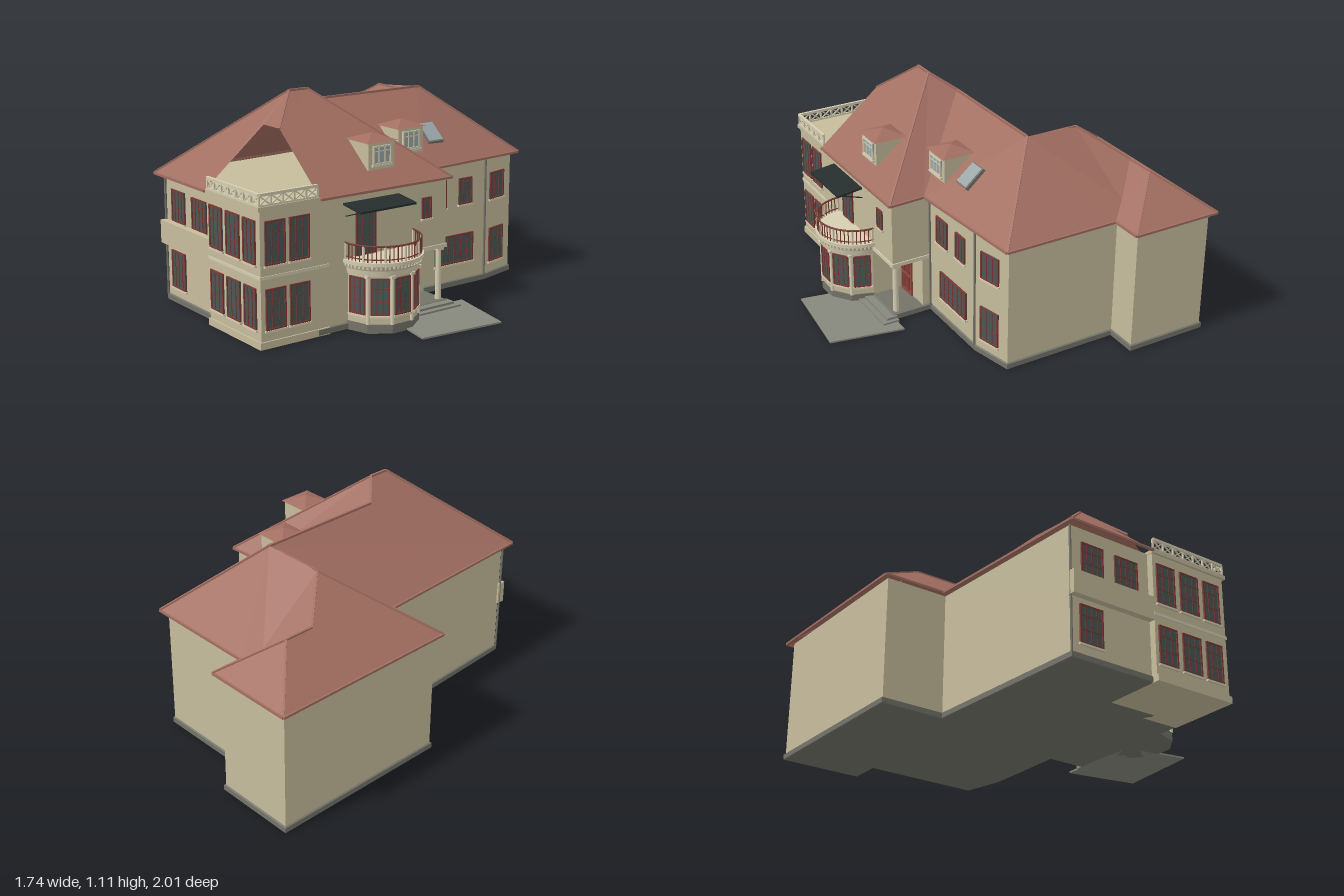
import * as THREE from 'three';

const mat = (name, color, side = THREE.FrontSide) => {
  const m = new THREE.MeshStandardMaterial({ color, side });
  m.name = name;
  return m;
};

export function createModel() {
  const M = {
    wall: mat('stucco', 0xc6bc9c),
    trim: mat('cream trim', 0xd6ceb2),
    roof: mat('roof tile', 0xa26e61, THREE.DoubleSide),
    base: mat('plinth grey', 0x74736a),
    frame: mat('window frame', 0x7c3a34),
    glass: mat('glass', 0x4a5856),
    door: mat('door', 0x98493f),
    awning: mat('awning', 0x252d2d),
    paving: mat('paving', 0x87887d),
    light: mat('pale glass', 0x9ba6a8),
  };
  const house = new THREE.Group();
  house.name = 'house';
  const add = (geo, m, name, parent = house) => {
    const mesh = new THREE.Mesh(geo, m);
    mesh.name = name;
    parent.add(mesh);
    return mesh;
  };
  // Box given by its extents
  const box = (name, m, x0, x1, y0, y1, z0, z1, parent = house) => {
    const b = add(new THREE.BoxGeometry(x1 - x0, y1 - y0, z1 - z0), m, name, parent);
    b.position.set((x0 + x1) / 2, (y0 + y1) / 2, (z0 + z1) / 2);
    return b;
  };
  // Square bar between two points
  const bar = (name, m, a, b, t, parent = house) => {
    const A = new THREE.Vector3(...a), B = new THREE.Vector3(...b);
    const mesh = add(new THREE.BoxGeometry(t, t, A.distanceTo(B)), m, name, parent);
    mesh.position.copy(A).lerp(B, 0.5);
    mesh.lookAt(B);
    return mesh;
  };
  // Upright prism over a plan outline of [x, z] points
  const prism = (name, m, pts, y0, y1, grow = 0) => {
    const shape = new THREE.Shape(pts.map(([x, z]) => new THREE.Vector2(x, -z)));
    const bevel = grow ? 0.004 : 0;
    const geo = new THREE.ExtrudeGeometry(shape, {
      depth: y1 - y0 - 2 * bevel, bevelEnabled: grow > 0, bevelSize: grow, bevelThickness: bevel, bevelSegments: 1,
    });
    geo.rotateX(-Math.PI / 2);
    add(geo, m, name).position.y = y0 + bevel;
  };

  // Walls: ground floor has a porch recess at the inner corner
  const west = [[0.02, 0.66], [0.02, 0.95], [-0.45, 0.95], [-0.5, 0], [-0.84, 0], [-0.84, -0.97],
    [-0.41, -0.97], [-0.41, -0.8], [0.21, -0.8], [0.26, -0.58], [0.262, -0.12]];
  const upper = [...west, [0.48, -0.12], [0.48, 0.66]];
  const lower = [...west, [0.31, -0.12], [0.31, 0.11], [0.48, 0.11], [0.48, 0.66]];
  prism('plinth', M.base, upper, 0, 0.035, 0.008);
  prism('groundFloorWalls', M.wall, lower, 0.03, 0.31);
  prism('upperFloorWalls', M.wall, upper, 0.31, 0.672);
  box('frontApron', M.wall, -0.46, 0.02, 0.31, 0.43, 0.94, 0.985);

  // Square front bay with roof terrace
  box('bayPlinth', M.wall, 0.02, 0.488, 0, 0.035, 0.6, 0.995);
  box('bayWalls', M.wall, 0.02, 0.48, 0.03, 0.675, 0.6, 0.985);
  box('bayBelt', M.trim, 0.02, 0.484, 0.335, 0.35, 0.6, 0.99);
  box('bayCornice', M.wall, 0.018, 0.492, 0.662, 0.682, 0.64, 0.998);

  // Lattice balustrade
  const rail = (a, b, n) => {
    const p = (t, y) => [a[0] + (b[0] - a[0]) * t, y, a[1] + (b[1] - a[1]) * t];
    bar('terraceTopRail', M.trim, p(0, 0.738), p(1, 0.738), 0.014);
    bar('terraceBottomRail', M.trim, p(0, 0.686), p(1, 0.686), 0.01);
    for (let i = 0; i <= n; i++) {
      bar('terracePost', M.trim, p(i / n, 0.68), p(i / n, 0.739), 0.009);
      if (i === n) continue;
      bar('lattice', M.trim, p(i / n, 0.686), p((i + 1) / n, 0.735), 0.006);
      bar('lattice', M.trim, p(i / n, 0.735), p((i + 1) / n, 0.686), 0.006);
    }
  };
  rail([0.026, 0.988], [0.482, 0.988], 7);
  rail([0.482, 0.988], [0.482, 0.665], 5);

  // Roof planes; every polygon is a fan about its first corner
  const E = 0.675, C = 0.957;
  const A = [-0.48, E, 1], P = [-0.01, 1.105, 0.49], Q = [-0.01, 1.105, 0.38], R = [-0.12, 1.025, 0.27],
    S = [-0.12, 1.025, -0.42], T = [-0.15, 1, -0.39], U = [-0.43, 1, -0.39], X = [-0.62, 0.86, -0.6],
    Y = [-0.62, 0.86, -0.76], W = [-0.46, 0.74, -0.76], D = [0.16, C, 0.66], B = [0.02, E, 1],
    K = [0.02, C, 0.66], V = [0.3, E, -0.13], NE = [0.24, E, -0.83], F = [0.5, E, 0.66], G = [0.5, E, -0.14],
    H = [-0.53, E, 0.03], I = [-0.87, E, 0.03], J = [-0.87, E, -1], L = [-0.38, E, -1], N = [-0.38, E, -0.83];
  const faces = [[P, A, B, K, D], [D, F, G, Q, P], [Q, G, V, R], [V, R, S, NE], [S, NE, N, W], [U, T, S, W, X],
    [W, X, Y, L, N], [Y, J, L], [I, J, Y, X, U], [I, U, T, H], [A, H, T, S, R, Q, P]];
  const pos = [];
  for (const f of faces) for (let i = 1; i < f.length - 1; i++) {
    const [a, b, c] = [f[0], f[i], f[i + 1]];
    const up = (b[2] - a[2]) * (c[0] - a[0]) - (b[0] - a[0]) * (c[2] - a[2]);
    pos.push(...a, ...(up > 0 ? [...b, ...c] : [...c, ...b]));
  }
  const roofGeo = new THREE.BufferGeometry();
  roofGeo.setAttribute('position', new THREE.Float32BufferAttribute(pos, 3));
  roofGeo.computeVertexNormals();
  add(roofGeo, M.roof, 'roof');
  const line = (name, pts, t, dy) => pts.slice(1).forEach((p, i) =>
    bar(name, M.roof, [pts[i][0], pts[i][1] + dy, pts[i][2]], [p[0], p[1] + dy, p[2]], t));
  line('eave', [B, A, H, I, J, L, N, NE, V, G, F], 0.012, -0.003);
  line('ridgeCap', [A, P, Q, R, S, NE], 0.012, 0);
  line('ridgeCap', [D, P], 0.01, 0);
  line('ridgeCap', [Q, G], 0.01, 0);
  line('ridgeCap', [J, Y, X, U, T], 0.01, 0);
  line('ridgeCap', [I, U], 0.01, 0);
  line('ridgeCap', [L, Y], 0.01, 0);

  // Window: local +z points out of the wall
  const windowAt = (x, z, turn, w, y0, y1, cols = 3, glass = M.glass, frame = M.frame) => {
    const g = new THREE.Group();
    g.name = 'window';
    g.position.set(x, y0, z);
    g.rotation.y = turn;
    house.add(g);
    const h = y1 - y0, t = 0.008;
    box('glass', glass, -w / 2, w / 2, 0, h, -0.004, 0.004, g);
    for (const s of [-1, 1]) box('frameSide', frame, s * (w / 2 - t / 2) - t / 2, s * (w / 2 - t / 2) + t / 2, 0, h, -0.004, 0.009, g);
    for (const y of [0, h - t]) box('frameRail', frame, -w / 2, w / 2, y, y + t, -0.004, 0.009, g);
    for (let i = 1; i < cols; i++) {
      const cx = -w / 2 + (w * i) / cols;
      box('mullion', frame, cx - 0.0025, cx + 0.0025, 0, h, -0.004, 0.007, g);
    }
    for (const f of h > 0.14 ? [0.36, 0.72] : [0.7]) box('glazingBar', frame, -w / 2, w / 2, h * f - 0.0022, h * f + 0.0022, -0.004, 0.007, g);
    box('sill', M.trim, -w / 2 - 0.006, w / 2 + 0.006, -0.01, 0, -0.004, 0.012, g);
    return g;
  };
  const EAST = Math.PI / 2;
  windowAt(-0.325, 0.95, 0, 0.13, 0.435, 0.6, 4);
  windowAt(-0.12, 0.95, 0, 0.14, 0.435, 0.595, 4);
  windowAt(-0.337, 0.95, 0, 0.135, 0.085, 0.28, 4);
  for (const [y0, y1] of [[0.4, 0.612], [0.088, 0.288]]) {
    for (const [x, w] of [[0.097, 0.115], [0.248, 0.118], [0.393, 0.105]]) windowAt(x, 0.985, 0, w, y0, y1);
    for (const z of [0.905, 0.77]) windowAt(0.48, z, EAST, 0.112, y0, y1);
  }
  windowAt(0.48, 0.385, EAST, 0.12, 0.36, 0.575);
  windowAt(0.48, 0.008, EAST, 0.06, 0.48, 0.587, 2);
  windowAt(0.262, -0.25, EAST, 0.108, 0.44, 0.59);
  windowAt(0.262, -0.435, EAST, 0.09, 0.445, 0.587);
  windowAt(0.262, -0.362, EAST, 0.26, 0.13, 0.285, 6);
  for (const [y0, y1] of [[0.44, 0.587], [0.092, 0.28]]) windowAt(0.238, -0.677, EAST + 0.224, 0.125, y0, y1);

  // Porch: door, corner column, steps and paving
  box('door', M.door, 0.308, 0.32, 0.035, 0.265, -0.01, 0.1);
  for (const z of [0.02, 0.07]) for (const [a, b] of [[0.06, 0.14], [0.16, 0.23]])
    box('doorPanel', M.frame, 0.318, 0.324, a, b, z - 0.017, z + 0.017);
  const column = (x, z, r, y0, y1) => {
    add(new THREE.CylinderGeometry(r * 0.85, r, y1 - y0, 12), M.trim, 'column').position.set(x, (y0 + y1) / 2, z);
    box('columnCapital', M.trim, x - r * 1.3, x + r * 1.3, y1 - 0.015, y1, z - r * 1.3, z + r * 1.3);
  };
  column(0.455, -0.095, 0.016, 0.03, 0.31);
  box('porchBeam', M.trim, 0.27, 0.486, 0.31, 0.33, -0.126, 0.1);
  box('upperStep', M.paving, 0.47, 0.53, 0, 0.03, -0.14, 0.12);
  box('lowerStep', M.paving, 0.47, 0.56, 0, 0.018, -0.16, 0.15);
  prism('paving', M.paving, [[0.48, -0.235], [0.865, -0.16], [0.82, 0.3], [0.48, 0.24]], 0, 0.009);

  // Faceted bay window carrying a round balcony
  const cx = 0.48, cz = 0.3;
  const half = (name, m, r0, r1, y0, y1, n = 24) => {
    const geo = new THREE.CylinderGeometry(r1, r0, y1 - y0, n, 1, false, 0, Math.PI);
    const mesh = add(n < 9 ? geo.toNonIndexed() : geo, m, name);
    if (n < 9) mesh.geometry.computeVertexNormals();
    mesh.position.set(cx, (y0 + y1) / 2, cz);
  };
  half('bayWindowFoot', M.base, 0.195, 0.195, 0, 0.045, 5);
  half('bayWindowWall', M.wall, 0.19, 0.19, 0.045, 0.3, 5);
  half('balconyMoulding', M.trim, 0.195, 0.2, 0.285, 0.315);
  half('balconyCornice', M.wall, 0.2, 0.21, 0.315, 0.34);
  half('balconySlab', M.trim, 0.218, 0.218, 0.34, 0.358);
  for (let i = -2; i <= 2; i++) {
    const a = (i * Math.PI) / 5;
    windowAt(cx + 0.181 * Math.cos(a), cz + 0.181 * Math.sin(a), EAST - a, 0.092, 0.09, 0.275);
  }
  for (let i = -2; i < 2; i++) {
    const a = ((i + 0.5) * Math.PI) / 5;
    column(cx + 0.19 * Math.cos(a), cz + 0.19 * Math.sin(a), 0.01, 0.045, 0.29);
  }
  for (let i = 0; i <= 30; i++) {
    const a = ((i / 30) - 0.5) * Math.PI * 0.98, r = 0.206;
    const x = cx + r * Math.cos(a), z = cz + r * Math.sin(a);
    bar('baluster', i % 5 ? M.frame : M.trim, [x, 0.355, z], [x, 0.437, z], i % 5 ? 0.004 : 0.009);
    const d = add(new THREE.BoxGeometry(0.01, 0.012, 0.01), M.trim, 'dentil');
    d.position.set(x, 0.33, z);
    d.rotation.y = -a;
  }
  for (const [y, t] of [[0.437, 0.005], [0.372, 0.003]]) {
    const ring = new THREE.TorusGeometry(0.206, t, 6, 28, Math.PI);
    ring.rotateX(Math.PI / 2).rotateY(Math.PI / 2);
    add(ring, M.frame, 'balconyRail').position.set(cx, y, cz);
  }

  // Awning with braces
  const awning = box('awning', M.awning, -0.07, 0.07, -0.005, 0.005, -0.167, 0.167);
  awning.position.set(0.56, 0.621, 0.357);
  awning.rotation.z = -0.13;
  for (const z of [0.21, 0.36, 0.5]) bar('awningBrace', M.awning, [0.48, 0.565, z], [0.62, 0.612, z], 0.005);

  // Hipped dormers
  for (const [x, z] of [[0.337, 0.24], [0.132, -0.105]]) {
    box('dormerBody', M.wall, x - 0.08, x + 0.08, 0.75, 0.888, z - 0.08, z + 0.08);
    const cap = add(new THREE.ConeGeometry(0.132, 0.035, 4, 1).rotateY(Math.PI / 4).toNonIndexed(), M.roof, 'dormerRoof');
    cap.geometry.computeVertexNormals();
    cap.position.set(x, 0.902, z);
    windowAt(x + 0.081, z, EAST, 0.11, 0.775, 0.868, 3, M.light, M.trim);
  }

  // Skylight lying on the east slope
  const sky = new THREE.Group();
  sky.name = 'skylight';
  sky.position.set(0.13, 0.822, -0.302);
  sky.rotation.z = -0.71;
  house.add(sky);
  box('skylightFrame', M.base, -0.066, 0.066, -0.02, 0.008, -0.05, 0.05, sky);
  box('skylightGlass', M.light, -0.06, 0.06, 0, 0.012, -0.044, 0.044, sky);

  // Downpipes
  for (const [x, z] of [[0.272, -0.135], [-0.455, 0.955], [0.265, -0.575]])
    add(new THREE.CylinderGeometry(0.006, 0.006, 0.64, 8), M.base, 'downpipe').position.set(x, 0.35, z);

  return house;
}
